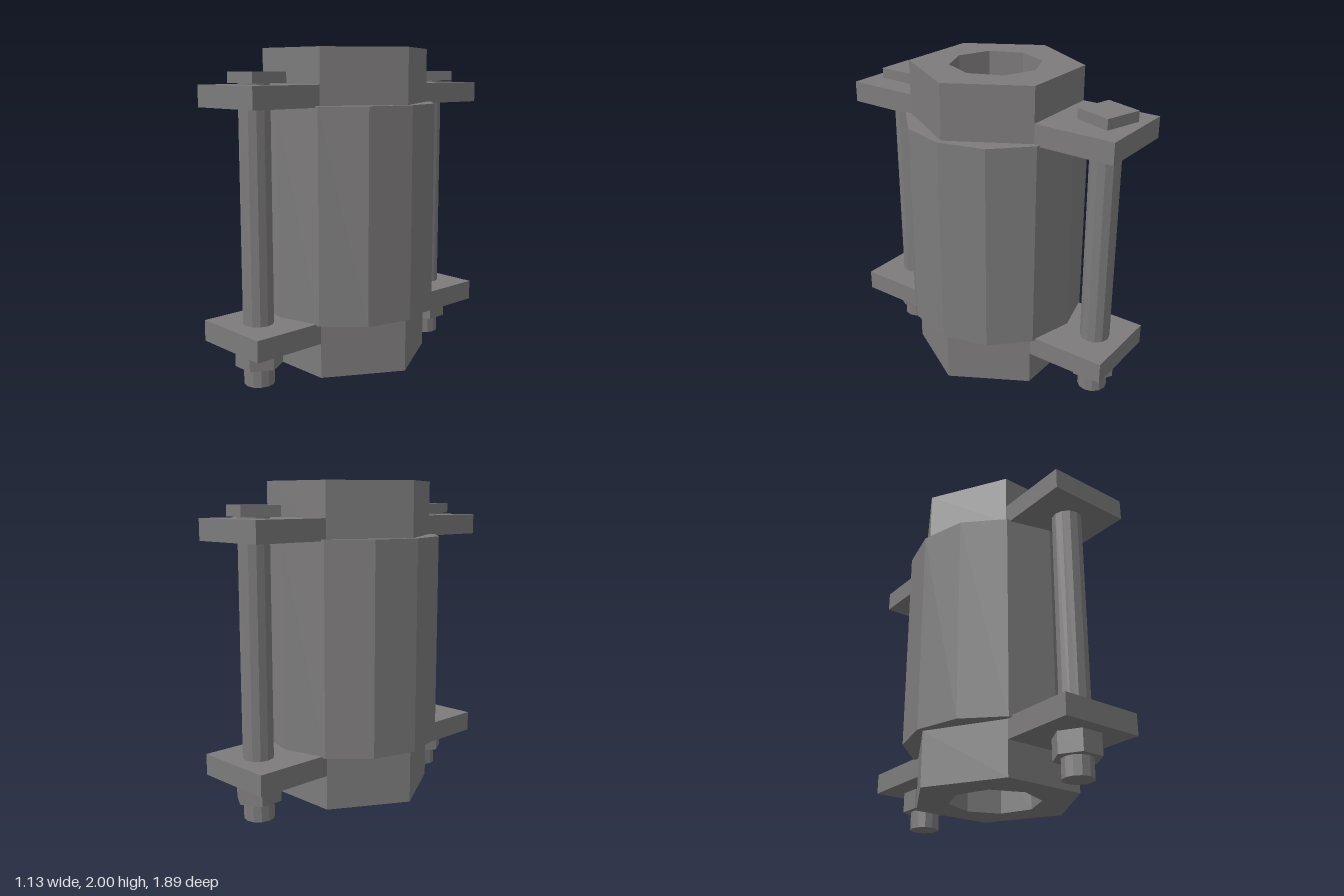
import * as THREE from 'three';

const steel = new THREE.MeshStandardMaterial({ color: 0x7d7b7b });
steel.name = 'dark steel';

// Corner points of a regular polygon with one corner on +x
function polygon(radius, sides) {
  return Array.from({ length: sides }, (_, i) => {
    const a = (i / sides) * Math.PI * 2;
    return new THREE.Vector2(Math.cos(a) * radius, Math.sin(a) * radius);
  });
}

function add(parent, name, geometry, x, y, z) {
  const flat = geometry.index ? geometry.toNonIndexed() : geometry;
  flat.computeVertexNormals();
  const mesh = new THREE.Mesh(flat, steel);
  mesh.name = name;
  mesh.position.set(x, y, z);
  parent.add(mesh);
  return mesh;
}

// Upright polygonal block, with an octagonal bore through it if asked
function prism(radius, sides, height, bore) {
  const shape = new THREE.Shape(polygon(radius, sides));
  if (bore) shape.holes.push(new THREE.Path(polygon(bore, 8).reverse()));
  return new THREE.ExtrudeGeometry(shape, { depth: height, bevelEnabled: false }).rotateX(-Math.PI / 2);
}

export function createModel() {
  const model = new THREE.Group();
  model.name = 'clampedCoupling';
  const bodyZ = 0.015, bore = 0.282;

  // Hexagonal ends and the twelve-sided sleeve between them
  add(model, 'lowerHexCollar', prism(0.528, 6, 0.335, bore), 0, 0.03, bodyZ);
  add(model, 'sleeve', prism(0.565, 12, 1.3, bore), 0, 0.365, bodyZ);
  add(model, 'upperHexCollar', prism(0.528, 6, 0.335, bore), 0, 1.665, bodyZ);

  const bolts = [
    { name: 'front', inner: 0.47, outer: 0.945, z: 0.738, headTurn: 0, nutTurn: 0 },
    { name: 'back', inner: -0.44, outer: -0.945, z: -0.755, headTurn: -0.295, nutTurn: Math.PI / 6 },
  ];
  for (const b of bolts) {
    const side = new THREE.Group();
    side.name = b.name + 'ClampBolt';
    model.add(side);

    // Lugs on both collars
    for (const [name, y] of [['lowerLug', 0.31], ['upperLug', 1.72]]) {
      add(side, name, new THREE.BoxGeometry(0.528, 0.13, Math.abs(b.outer - b.inner)),
        0, y, (b.inner + b.outer) / 2);
    }

    // Shaft, square head and hex nut
    add(side, 'boltShaft', prism(0.093, 12, 1.8), 0, 0, b.z);
    add(side, 'boltHead', new THREE.BoxGeometry(0.24, 0.065, 0.24), 0, 1.8275, b.z - (b.z > 0 ? 0.02 : 0))
      .rotation.y = b.headTurn;
    add(side, 'nut', prism(0.143, 6, 0.13), 0, 0.115, b.z).rotation.y = b.nutTurn;
  }
  return model;
}
